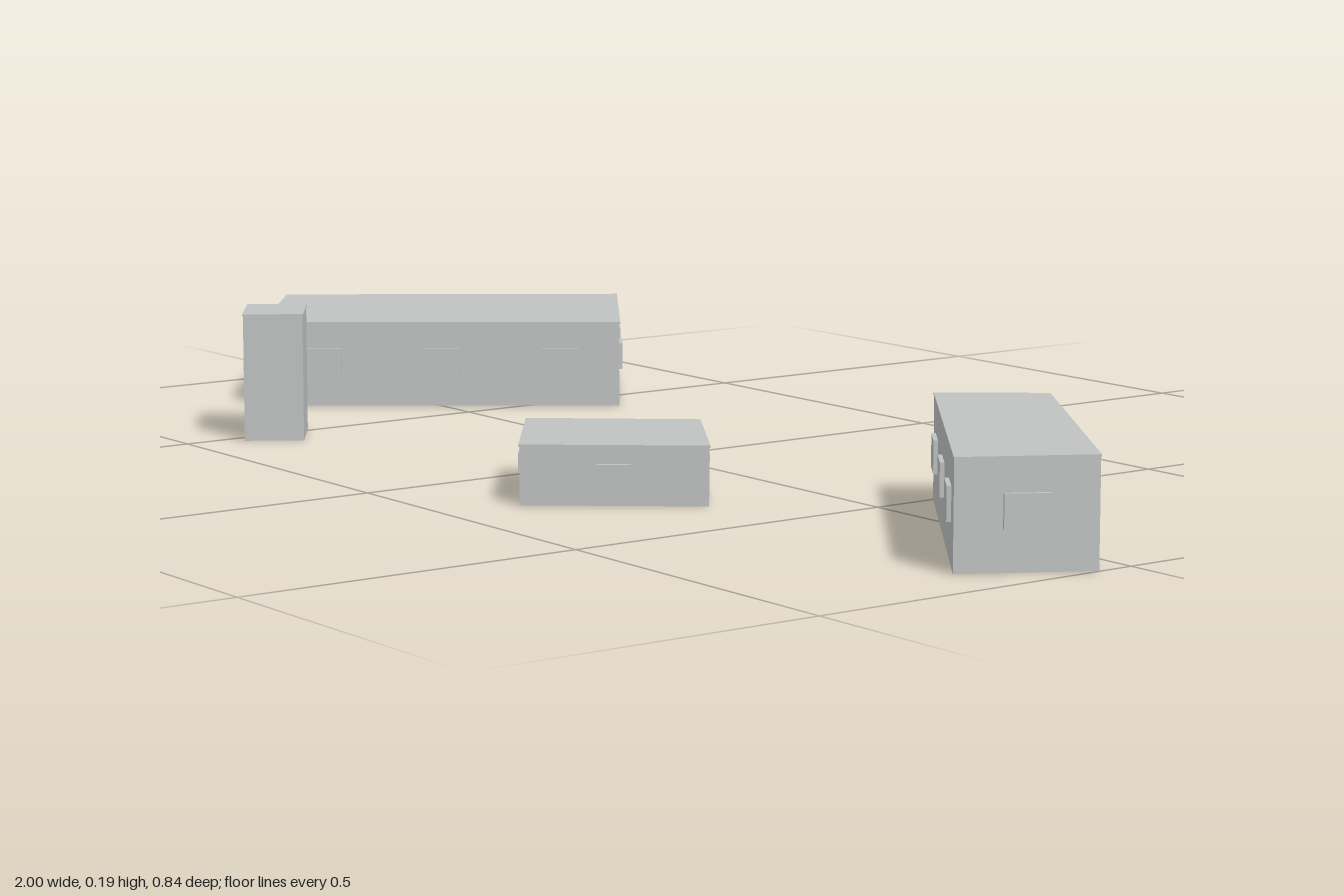
import * as THREE from 'three';

const stone = new THREE.MeshStandardMaterial({ color: 0xc0c2c2 });
stone.name = 'pale grey';

// Footprints run back, right, front, left corner as [x, z];
// windows are counted per wall: back, right, front, left.
const buildings = [
  { name: 'longHall', height: 0.133, windowWidth: 0.058, windows: [2, 3, 2, 3],
    foot: [[-0.687, -0.416], [-0.412, -0.225], [-0.741, 0.224], [-1.0, 0.024]] },
  { name: 'smallHouse', height: 0.084, windowWidth: 0.048, windows: [1, 1, 1, 1],
    foot: [[0.179, 0.061], [0.361, 0.181], [0.201, 0.383], [0.025, 0.25]] },
  { name: 'narrowHall', height: 0.148, windowWidth: 0.06, windows: [3, 1, 3, 1],
    foot: [[0.596, -0.223], [0.998, 0.052], [0.906, 0.213], [0.5, -0.098]] },
  { name: 'tower', height: 0.19, windowWidth: 0, windows: [0, 0, 0, 0],
    foot: [[-0.518, 0.281], [-0.425, 0.344], [-0.474, 0.417], [-0.567, 0.353]] },
];

// Upright prism over a footprint
function prism(name, foot, y, height) {
  const shape = new THREE.Shape(foot.map(([x, z]) => new THREE.Vector2(x, -z)));
  const geo = new THREE.ExtrudeGeometry(shape, { depth: height, bevelEnabled: false });
  geo.rotateX(-Math.PI / 2);
  const mesh = new THREE.Mesh(geo, stone);
  mesh.name = name;
  mesh.position.y = y;
  return mesh;
}

// Move corners outward from the centre by a small distance
function widen(foot, d) {
  const cx = foot.reduce((s, p) => s + p[0], 0) / 4;
  const cz = foot.reduce((s, p) => s + p[1], 0) / 4;
  return foot.map(([x, z]) => {
    const k = 1 + d / Math.hypot(x - cx, z - cz);
    return [cx + (x - cx) * k, cz + (z - cz) * k];
  });
}

function building({ name, height, foot, windowWidth, windows }) {
  const group = new THREE.Group();
  group.name = name;
  const roofThickness = 0.003;
  group.add(prism('walls', foot, 0, height - roofThickness));
  group.add(prism('roofSlab', widen(foot, 0.002), height - roofThickness, roofThickness));

  // Raised window panels, evenly spaced along each wall
  const depth = 0.006;
  foot.forEach(([x0, z0], i) => {
    const [x1, z1] = foot[(i + 1) % 4];
    const dx = x1 - x0, dz = z1 - z0;
    for (let n = 0; n < windows[i]; n++) {
      const f = (n + 0.5) / windows[i];
      const panel = new THREE.Mesh(new THREE.BoxGeometry(windowWidth, height * 0.31, depth * 2), stone);
      panel.name = 'window';
      panel.position.set(x0 + dx * f, height * 0.53, z0 + dz * f);
      panel.rotation.y = Math.atan2(dz, -dx);
      group.add(panel);
    }
  });
  return group;
}

export function createModel() {
  const model = new THREE.Group();
  model.name = 'buildingCluster';
  buildings.forEach((b) => model.add(building(b)));
  return model;
}
